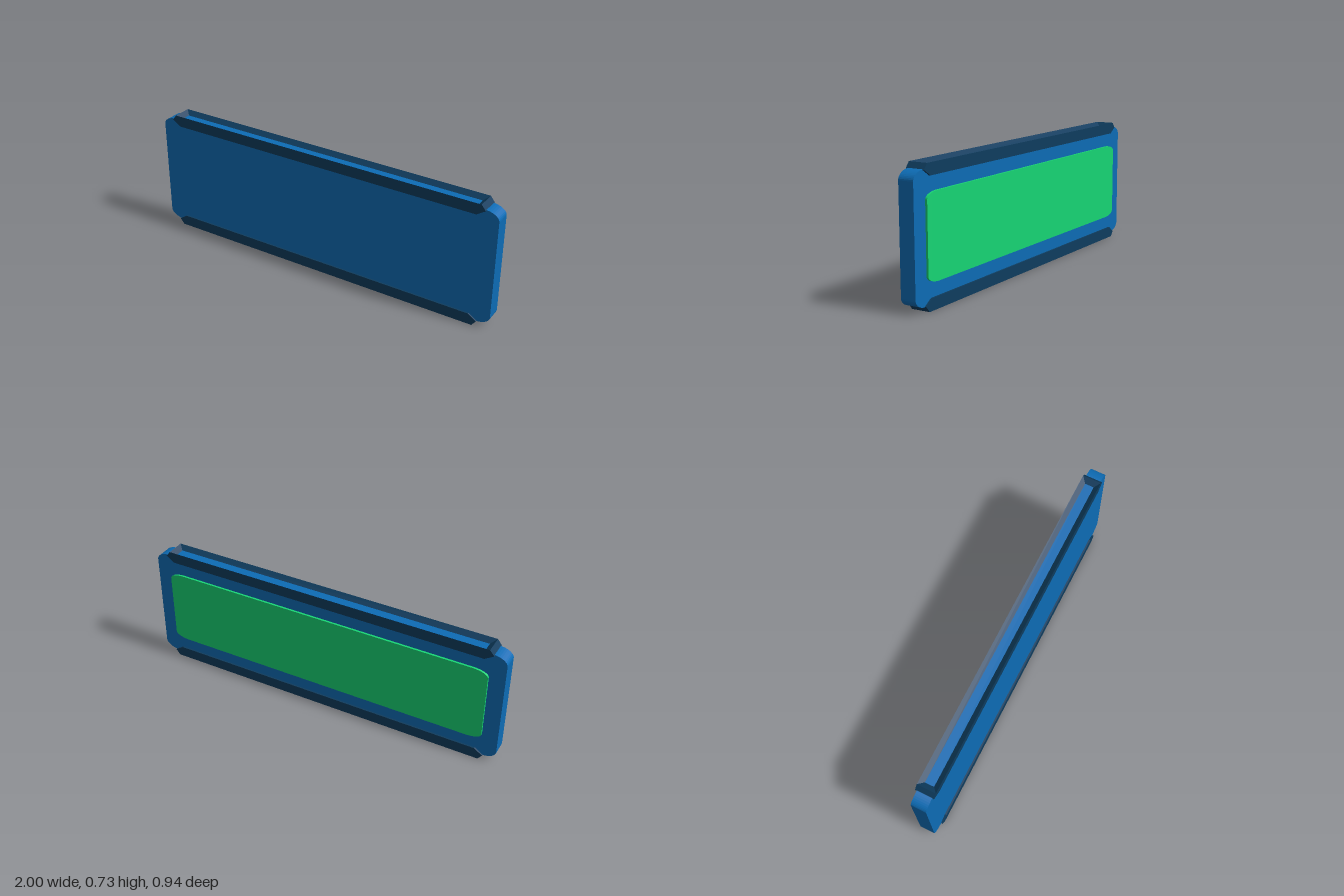
import * as THREE from 'three';

const paint = (color) => new THREE.MeshStandardMaterial({ color, flatShading: true });

// Slab centred on the origin with elliptical corners
function roundedSlab(hx, hy, rx, ry, depth) {
  const s = new THREE.Shape();
  s.moveTo(hx, -hy + ry);
  s.absellipse(hx - rx, hy - ry, rx, ry, 0, Math.PI / 2);
  s.absellipse(-hx + rx, hy - ry, rx, ry, Math.PI / 2, Math.PI);
  s.absellipse(-hx + rx, -hy + ry, rx, ry, Math.PI, Math.PI * 1.5);
  s.absellipse(hx - rx, -hy + ry, rx, ry, Math.PI * 1.5, Math.PI * 2);
  const g = new THREE.ExtrudeGeometry(s, { depth, bevelEnabled: false, curveSegments: 5 });
  return g.translate(0, 0, -depth / 2);
}

// Skin over stacked rectangles [half length, half width, height]
function rectangleLoft(rings) {
  const corner = ([h, w, y], i) => [[h, y, w], [h, y, -w], [-h, y, -w], [-h, y, w]][i % 4];
  const pos = [];
  for (let r = 0; r < rings.length - 1; r++) {
    for (let i = 0; i < 4; i++) {
      const a = corner(rings[r], i), b = corner(rings[r], i + 1);
      const c = corner(rings[r + 1], i + 1), d = corner(rings[r + 1], i);
      pos.push(...a, ...b, ...c, ...a, ...c, ...d);
    }
  }
  const g = new THREE.BufferGeometry();
  g.setAttribute('position', new THREE.Float32BufferAttribute(pos, 3));
  g.computeVertexNormals();
  return g;
}

export function createModel() {
  const model = new THREE.Group();
  const board = new THREE.Group();
  board.name = 'board';
  const blue = paint(0x0d6cb5), navy = paint(0x0e3c5e), green = paint(0x17d574);
  const add = (parent, name, geometry, material) => {
    const m = new THREE.Mesh(geometry, material);
    m.name = name;
    parent.add(m);
    return m;
  };

  // Main slab
  add(board, 'body', roundedSlab(1.072, 0.338, 0.085, 0.05, 0.088), blue);

  // Raised panel on the back
  add(board, 'backPanel', roundedSlab(0.982, 0.225, 0.09, 0.035, 0.02), green)
    .position.set(0, 0, -0.046);

  // Chamfered rails with a sunken channel, along the top and bottom
  const railShape = rectangleLoft([
    [0.94, 0.04, 0.302], [0.95, 0.054, 0.302], [1.0, 0.054, 0.335],
    [0.975, 0.054, 0.366], [0.945, 0.026, 0.343],
  ]);
  const floorShape = new THREE.PlaneGeometry(1.89, 0.052).rotateX(-Math.PI / 2).translate(0, 0.343, 0);
  ['topRail', 'bottomRail'].forEach((name, i) => {
    const rail = new THREE.Group();
    rail.name = name;
    add(rail, name + 'Frame', railShape, navy);
    add(rail, name + 'Channel', floorShape, blue);
    rail.rotation.x = i * Math.PI;
    board.add(rail);
  });

  // The whole board stands turned about the vertical axis
  board.position.y = 0.366;
  board.rotation.y = -THREE.MathUtils.degToRad(23.7);
  model.add(board);
  return model;
}
